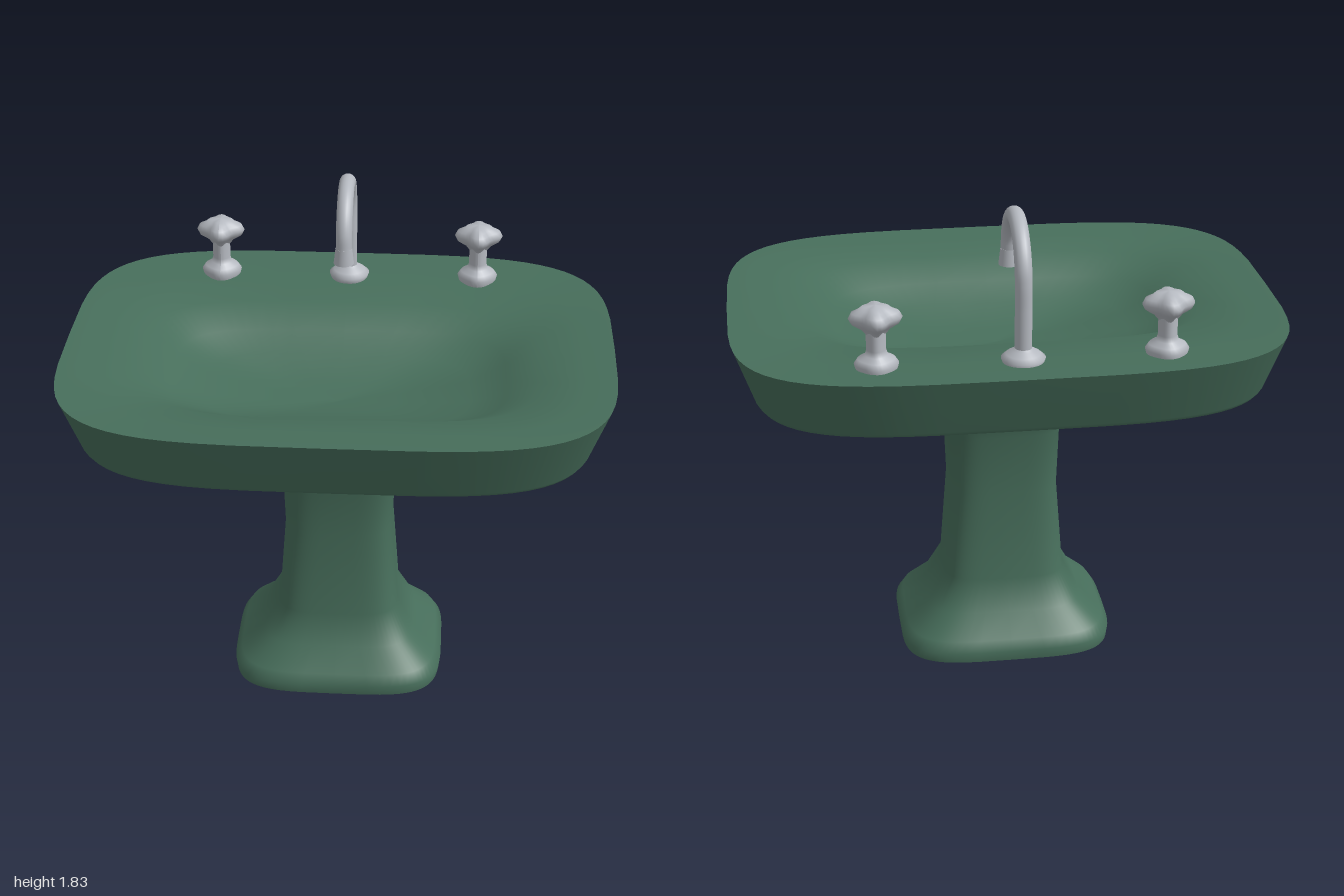
import * as THREE from 'three';

const green = new THREE.MeshStandardMaterial({ color: 0x476e5b });
green.name = 'green ceramic';
const steel = new THREE.MeshStandardMaterial({ color: 0xb4b8bf });
steel.name = 'brushed steel';

// Skin over rounded-rectangle rings [y, halfX, halfZ, centreZ], listed underside first, then up and in
function loft(rings, segments = 64, power = 4) {
  const pos = [], index = [];
  const curve = v => Math.sign(v) * Math.pow(Math.abs(v), 2 / power);
  rings.forEach(([y, hx, hz, cz = 0], r) => {
    for (let i = 0; i < segments; i++) {
      const a = (i / segments) * Math.PI * 2;
      pos.push(hx * curve(Math.cos(a)), y, cz + hz * curve(Math.sin(a)));
      if (r === 0) continue;
      const j = (i + 1) % segments, lo = (r - 1) * segments, hi = r * segments;
      index.push(lo + i, hi + i, lo + j, lo + j, hi + i, hi + j);
    }
  });
  const g = new THREE.BufferGeometry();
  g.setAttribute('position', new THREE.Float32BufferAttribute(pos, 3));
  g.setIndex(index);
  g.computeVertexNormals();
  return g;
}

function add(parent, name, geometry, material) {
  const mesh = new THREE.Mesh(geometry, material);
  mesh.name = name;
  parent.add(mesh);
  return mesh;
}

const lathe = points => new THREE.LatheGeometry(points.map(p => new THREE.Vector2(...p)), 32);

// Turned shape pinched between four lobes that lie on the x and z axes
function lobed(points, pinch) {
  const g = lathe(points), p = g.attributes.position;
  for (let i = 0; i < p.count; i++) {
    const a = Math.atan2(p.getZ(i), p.getX(i));
    const s = 1 - pinch * (0.5 - 0.5 * Math.cos(4 * a));
    p.setX(i, p.getX(i) * s);
    p.setZ(i, p.getZ(i) * s);
  }
  g.computeVertexNormals();
  return g;
}

function makeBasin() {
  const basin = new THREE.Group();
  basin.name = 'basin';
  add(basin, 'basinUnderside', loft([[1.095, 0, 0], [1.095, 0.35, 0.275], [1.135, 0.92, 0.69]]), green);
  add(basin, 'basinWall', loft([[1.135, 0.92, 0.69], [1.15, 0.93, 0.7], [1.36, 1, 0.77]]), green);
  // Gently sloping deck that drops into a bowl
  add(basin, 'basinBowl', loft([
    [1.36, 1, 0.77], [1.352, 0.88, 0.62, 0.03], [1.33, 0.72, 0.45, 0.07], [1.265, 0.61, 0.345, 0.07],
    [1.205, 0.48, 0.25, 0.07], [1.165, 0.22, 0.11, 0.07], [1.15, 0, 0, 0.07],
  ]), green);
  return basin;
}

function makePedestal() {
  const pedestal = new THREE.Group();
  pedestal.name = 'pedestal';
  add(pedestal, 'pedestalFoot', loft([[0, 0, 0], [0, 0.4, 0.335]]), green);
  add(pedestal, 'pedestalColumn', loft([
    [0, 0.4, 0.335], [0.04, 0.405, 0.34], [0.08, 0.38, 0.32], [0.16, 0.295, 0.25], [0.28, 0.23, 0.2],
    [0.63, 0.204, 0.18], [0.87, 0.213, 0.187], [0.99, 0.27, 0.222], [1.1, 0.355, 0.28],
  ]), green);
  return pedestal;
}

function makeHandle(side) {
  const handle = new THREE.Group();
  handle.name = side > 0 ? 'leftHandle' : 'rightHandle';
  handle.position.set(side * 0.5, 0, -0.58);
  add(handle, 'handleStem', lobed([
    [0.07, 1.345], [0.077, 1.37], [0.065, 1.388], [0.04, 1.4], [0.034, 1.42], [0.034, 1.5],
  ], 0.08), steel);
  add(handle, 'handleKnob', lobed([
    [0.034, 1.475], [0.05, 1.495], [0.082, 1.515], [0.092, 1.535], [0.082, 1.555],
    [0.06, 1.565], [0.045, 1.577], [0, 1.58],
  ], 0.27), steel);
  return handle;
}

function makeFaucet() {
  const faucet = new THREE.Group();
  faucet.name = 'faucet';
  const base = add(faucet, 'faucetBase', lathe([
    [0.07, 1.345], [0.077, 1.365], [0.06, 1.38], [0.04, 1.392], [0.03, 1.4],
  ]), steel);
  base.position.z = -0.585;

  // Upright, half circle and short drop
  const path = [[1.35, -0.585], [1.45, -0.585], [1.54, -0.585]].map(([y, z]) => new THREE.Vector3(0, y, z));
  for (let i = 0; i <= 12; i++) {
    const a = Math.PI * (1 - i / 12);
    path.push(new THREE.Vector3(0, 1.625 + 0.18 * Math.sin(a), -0.405 + 0.18 * Math.cos(a)));
  }
  add(faucet, 'faucetSpout', new THREE.TubeGeometry(new THREE.CatmullRomCurve3(path), 64, 0.03, 20), steel);

  const tip = add(faucet, 'faucetTip', new THREE.CylinderGeometry(0.031, 0.038, 0.06, 24), steel);
  tip.position.set(0, 1.6, -0.226);
  return faucet;
}

export function createModel() {
  const sink = new THREE.Group();
  sink.name = 'pedestalSink';
  sink.add(makePedestal(), makeBasin(), makeFaucet(), makeHandle(1), makeHandle(-1));
  return sink;
}
